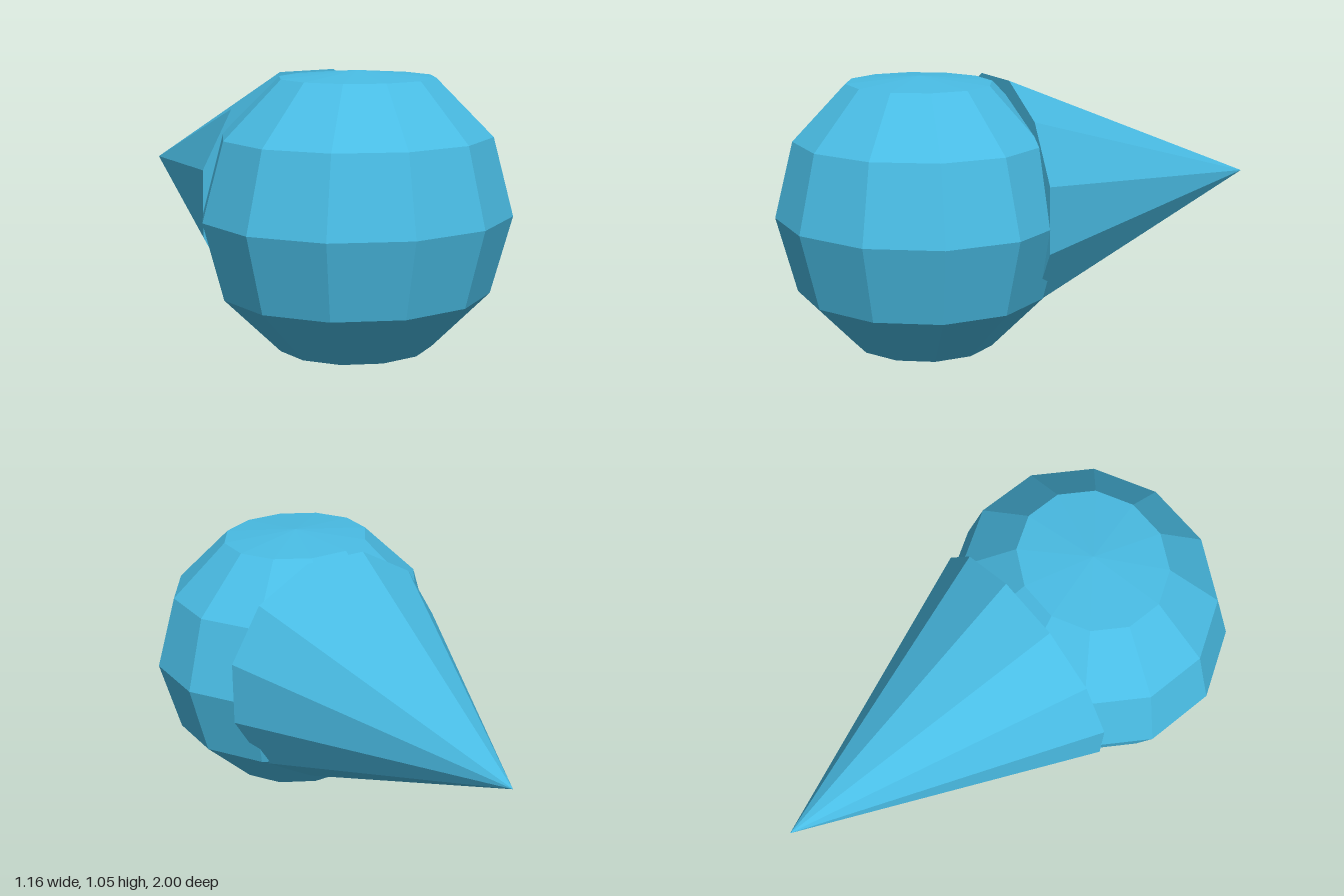
import * as THREE from 'three';

const SIDES = 12;
const TURN = Math.PI / SIDES; // puts flat facets, not corners, on the axes

export function createModel() {
  const model = new THREE.Group();
  model.name = 'taperedPod';

  const blue = new THREE.MeshStandardMaterial({ color: 0x49bce4, flatShading: true });
  blue.name = 'sky blue';

  // Faceted body: rings every 30 degrees, with flattened poles
  const profile = [new THREE.Vector2(0, -0.527)];
  for (let i = 1; i < 6; i++) {
    const a = (i * Math.PI) / 6;
    profile.push(new THREE.Vector2(0.599 * Math.sin(a), -0.579 * Math.cos(a)));
  }
  profile.push(new THREE.Vector2(0, 0.527));
  const body = new THREE.Mesh(new THREE.LatheGeometry(profile, SIDES, TURN), blue);
  body.name = 'body';
  body.scale.z = 0.916;
  body.position.set(0, 0.527, 0.47);
  model.add(body);

  // Pointed tail, closed at its base, aimed backwards
  const length = 1.157;
  const cone = new THREE.ConeGeometry(0.487, length, SIDES, 1, false, TURN);
  cone.rotateX(-Math.PI / 2);
  const tail = new THREE.Mesh(cone, blue);
  tail.name = 'tail';
  tail.position.set(0, 0.56, -1 + length / 2);
  model.add(tail);

  return model;
}
